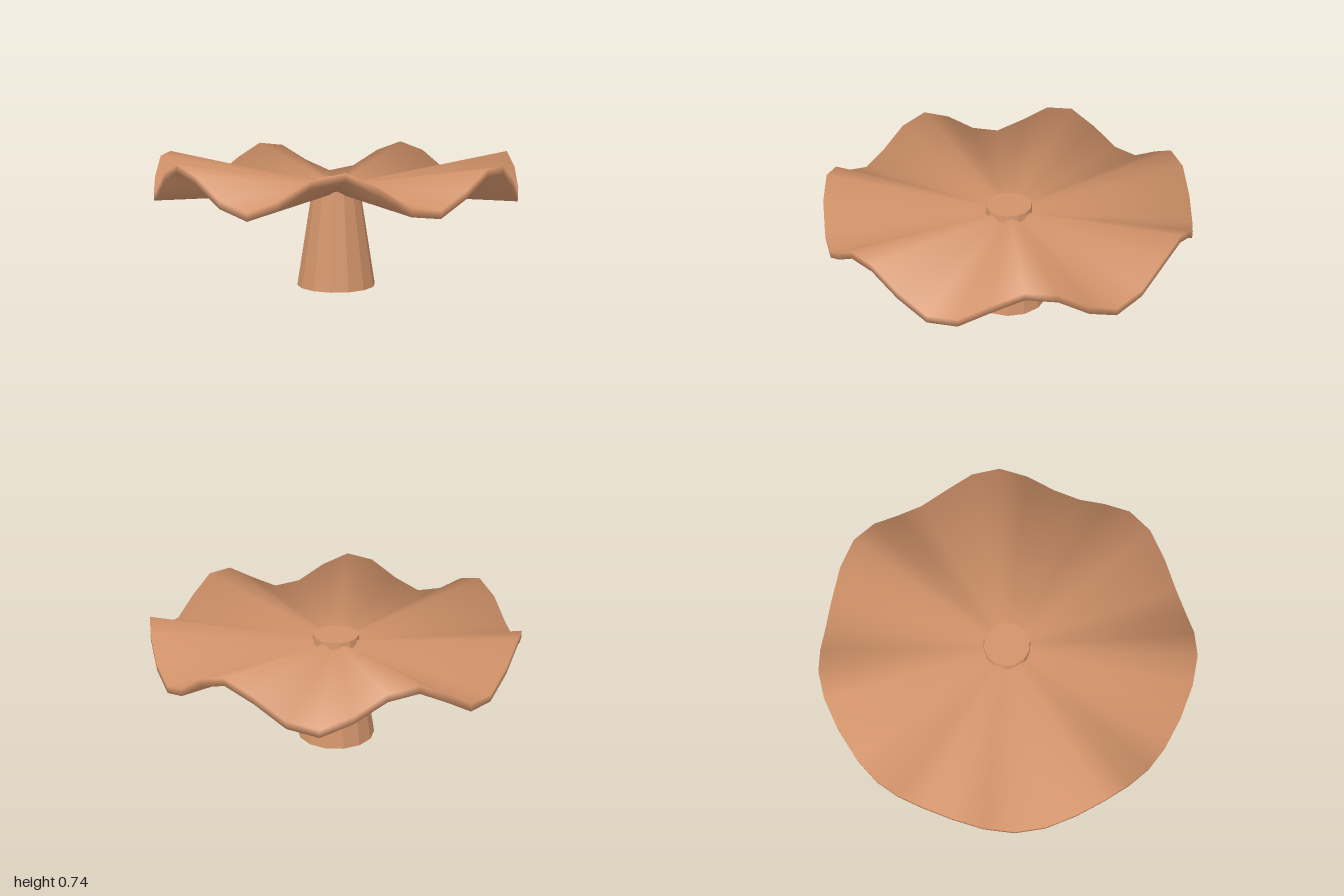
import * as THREE from 'three';

const SIDES = 40, WAVES = 7, PHASE = 0.53;
const RISE = 0.08, AMP = 0.1, BASE = 0.52, THICK = 0.04;

// Ruffled disc: straight spokes from the hub to a wavy rim, rounded by smooth normals
function ruffledDisc() {
  const pos = [], nor = [], idx = [];
  const add = (p, n) => { pos.push(p.x, p.y, p.z); nor.push(n.x, n.y, n.z); };
  add(new THREE.Vector3(0, BASE + THICK, 0), new THREE.Vector3(0, 1, 0));
  add(new THREE.Vector3(0, BASE, 0), new THREE.Vector3(0, -1, 0));
  for (let i = 0; i < SIDES; i++) {
    const a = (i / SIDES) * Math.PI * 2;
    const w = WAVES * a - PHASE;
    const slope = RISE + AMP * Math.cos(w);
    const twist = -WAVES * AMP * Math.sin(w);
    const out = new THREE.Vector3(Math.cos(a), 0, Math.sin(a));
    const along = new THREE.Vector3(-Math.sin(a), 0, Math.cos(a));
    const up = new THREE.Vector3(0, 1, 0).addScaledVector(out, -slope).addScaledVector(along, -twist).normalize();
    const rim = out.clone().setY(BASE + slope);
    add(rim.clone().setY(rim.y + THICK), up.clone().add(out).normalize());
    add(rim, out.clone().sub(up).normalize());
    const t = 2 + i * 2, b = t + 1;
    const t2 = 2 + ((i + 1) % SIDES) * 2, b2 = t2 + 1;
    idx.push(0, t2, t, 1, b, b2, t, t2, b, b, t2, b2);
  }
  const geo = new THREE.BufferGeometry();
  geo.setAttribute('position', new THREE.Float32BufferAttribute(pos, 3));
  geo.setAttribute('normal', new THREE.Float32BufferAttribute(nor, 3));
  geo.setIndex(idx);
  return geo;
}

export function createModel() {
  const group = new THREE.Group();
  const clay = new THREE.MeshStandardMaterial({ color: 0xd2936a });
  clay.name = 'clay';

  const cap = new THREE.Mesh(ruffledDisc(), clay);
  cap.name = 'ruffledCap';
  group.add(cap);

  // Tapered faceted stem, its top standing slightly above the hub
  const stemGeo = new THREE.CylinderGeometry(0.125, 0.22, 0.6, 14).toNonIndexed();
  stemGeo.computeVertexNormals();
  const stem = new THREE.Mesh(stemGeo, clay);
  stem.name = 'stem';
  stem.position.y = 0.3;
  group.add(stem);

  return group;
}
